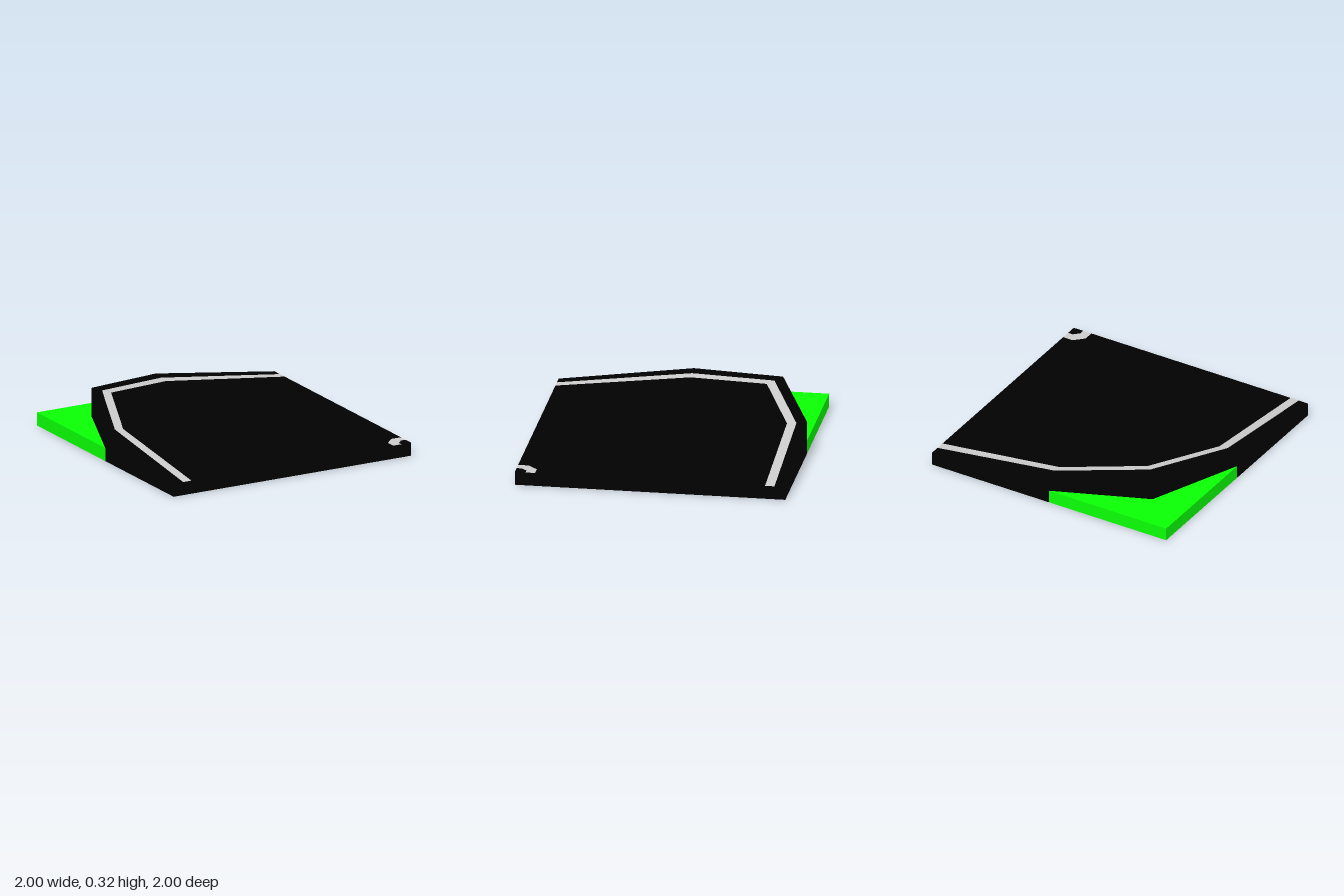
import * as THREE from 'three';

const LOW = 0.1; // slab thickness at the flat ends of the bend

// Rings of the bend from outside to inside, as [x, height, z] at three stations;
// the other half of each ring mirrors the first across the diagonal
const columns = [
  [[-1, LOW, 1], [-1, 0.24, 0], [-0.707, 0.322, -0.707]],         // outer edge
  [[-0.92, LOW, 1], [-0.92, 0.23, 0], [-0.652, 0.308, -0.652]],   // outer line, outside
  [[-0.85, LOW, 1], [-0.85, 0.223, 0], [-0.603, 0.297, -0.603]],  // outer line, inside
  [[0.85, LOW, 1], [0.85, LOW, 0.92], [0.885, LOW, 0.885]],       // inner line, outside
  [[0.92, LOW, 1], [0.92, LOW, 0.96], [0.94, LOW, 0.94]],         // inner line, inside
  [[1, LOW, 1], [1, LOW, 1], [1, LOW, 1]],                        // inside corner
].map((half) => [...half, ...half.slice(0, -1).reverse().map(([x, y, z]) => [z, y, x])]
  .map((p) => new THREE.Vector3(...p)));

// Flat-shaded strips, each between two columns of points; repeated points make fans
function stripGeometry(pairs) {
  const points = [];
  const addTriangle = (...corners) => {
    if (new THREE.Triangle(...corners).getArea() > 1e-6) points.push(...corners);
  };
  for (const [a, b] of pairs) {
    for (let i = 0; i < a.length - 1; i++) {
      addTriangle(a[i], b[i], a[i + 1]);
      addTriangle(b[i], b[i + 1], a[i + 1]);
    }
  }
  const geometry = new THREE.BufferGeometry().setFromPoints(points);
  geometry.computeVertexNormals();
  return geometry;
}

export function createModel() {
  const group = new THREE.Group();
  const asphalt = new THREE.MeshStandardMaterial({ color: 0x010101 });
  const paint = new THREE.MeshStandardMaterial({ color: 0xcccccc });
  const grass = new THREE.MeshStandardMaterial({ color: 0x0aff04 });

  const add = (name, geometry, material) => {
    const mesh = new THREE.Mesh(geometry, material);
    mesh.name = name;
    group.add(mesh);
  };

  // Road: shoulders, a bank rising from the diagonal hinge, and the flat inner half
  const [edge, outerA, outerB, innerA, innerB, corner] = columns;
  const [start, , apex, , end] = outerB;
  add('roadShoulders', stripGeometry([[edge, outerA], [innerB, corner]]), asphalt);
  add('roadBank', stripGeometry([
    [outerB, [start, start, apex, end, end]],
    [[apex, apex], [start, end]],
  ]), asphalt);
  add('roadFlat', stripGeometry([[[start, start, end, end, end], innerA]]), asphalt);

  // Painted lines
  add('outerLine', stripGeometry([[outerA, outerB]]), paint);
  add('innerLine', stripGeometry([[innerA, innerB]]), paint);

  // Side walls around the whole outline, and the underside
  const ground = (p) => new THREE.Vector3(p.x, 0, p.z);
  const outline = [...edge, corner[0], edge[0]];
  add('sideWalls', stripGeometry([[outline.map(ground), outline]]), asphalt);
  add('underside', stripGeometry([[edge.map(ground).reverse(), corner.map(ground)]]), asphalt);

  // Grass slab filling the outside corner
  const shape = new THREE.Shape([[-1, 1], [-1, 0], [-0.707, 0.707], [0, 1]]
    .map(([x, y]) => new THREE.Vector2(x, y)));
  const slab = new THREE.ExtrudeGeometry(shape, { depth: LOW, bevelEnabled: false });
  slab.rotateX(-Math.PI / 2);
  add('grassCorner', slab, grass);

  return group;
}
